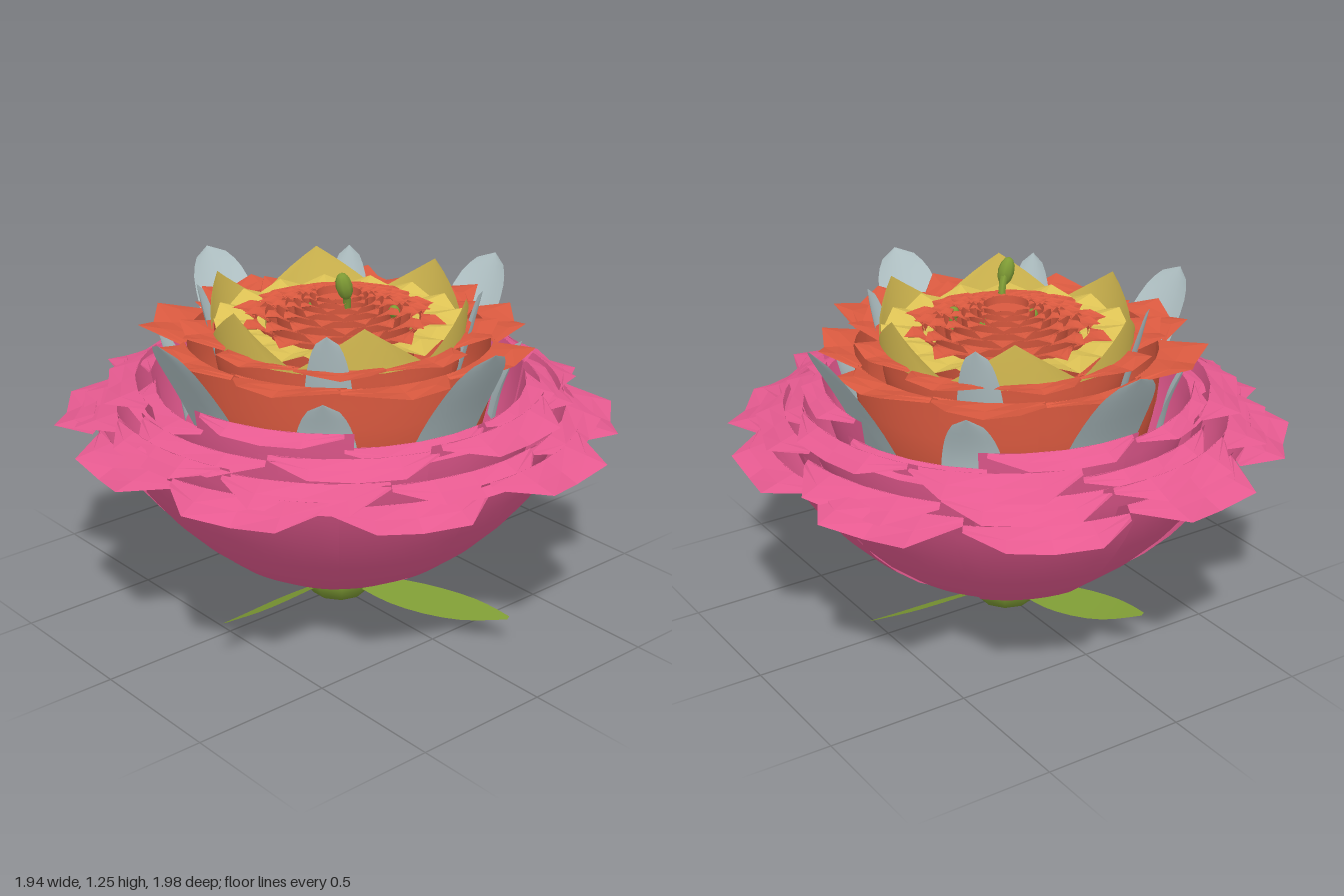
import * as THREE from 'three';

const PINK = 0xe65a90, RED = 0xd9593f, YELLOW = 0xdcc154, GREEN = 0x7f9c35, GREY = 0xb4c5c8;

const material = (color, flatShading = false) =>
  new THREE.MeshStandardMaterial({ color, flatShading, side: THREE.DoubleSide });

// Grid surface: fn(u, v) gives [x, y, z], with u and v running 0..1
function surface(fn, nu, nv) {
  const pos = [], index = [];
  for (let j = 0; j <= nv; j++)
    for (let i = 0; i <= nu; i++) {
      pos.push(...fn(i / nu, j / nv));
      if (i < nu && j < nv) {
        const a = j * (nu + 1) + i, b = a + nu + 1;
        index.push(a, a + 1, b, a + 1, b + 1, b);
      }
    }
  const g = new THREE.BufferGeometry();
  g.setAttribute('position', new THREE.Float32BufferAttribute(pos, 3));
  g.setIndex(index);
  g.computeVertexNormals();
  return g;
}

function mesh(parent, name, geometry, mat) {
  const m = new THREE.Mesh(geometry, mat);
  m.name = name;
  parent.add(m);
  return m;
}

const polar = (a, r, y) => [Math.sin(a) * r, y, Math.cos(a) * r];

// Lip outlines across one petal: blunt two-cornered tip, single point, or plain ring
const BLUNT = [0.12, 0.95, 0.8, 1, 0.12];
const POINT = [0, 0.5, 1, 0.5, 0];
const PLAIN = [1, 1, 1, 1, 1];

// Whorl of n cupped petals: smooth wall along a [radius, y] profile, then a faceted flared lip
function whorl(parent, name, color, { n, profile, lip, rot = 0, pattern = BLUNT, vary = 0.02, lift = 0 }) {
  const group = new THREE.Group();
  group.name = name;
  const curve = new THREE.CatmullRomCurve3(profile.map(([r, y]) => new THREE.Vector3(r, y, 0)));
  const [r0, y0] = profile[profile.length - 1];
  const cols = pattern.length - 1;
  const curl = (lip[0] - r0) * 0.1;
  for (let i = 0; i < n; i++) {
    const mid = rot + (i / n) * Math.PI * 2;
    const half = Math.PI / n;
    const push = 1 + vary * Math.sin(i * 2.4 + rot * 5);
    const raise = lift * Math.sin(i * 3.9 + rot * 7);
    const stagger = i % 2 ? 0.98 : 1;
    mesh(group, 'petalWall', surface((u, v) => {
      const p = curve.getPoint(v);
      return polar(mid + (u * 2 - 1) * half * 1.12, p.x * stagger, p.y + raise * v * v);
    }, 8, 10), material(color));
    mesh(group, 'petalLip', surface((u, v) => {
      const k = Math.round(u * cols);
      const t = v * pattern[k];
      const r = r0 * stagger + (lip[0] * push - r0 * stagger) * t;
      const y = y0 + raise + (lip[1] - y0) * t + v * (k % 2 ? curl : -curl);
      return polar(mid + (u * 2 - 1) * half, r, y);
    }, cols, 2), material(color, true));
  }
  parent.add(group);
}

// Slim leaf along a path, with half width shape(v) across and a little cupping
function leaf(points, width, shape, cup) {
  const curve = new THREE.CatmullRomCurve3(points.map(p => new THREE.Vector3(...p)));
  return surface((u, v) => {
    const p = curve.getPoint(v), s = u * 2 - 1;
    return [p.x + s * width * shape(v), p.y, p.z - cup * s * s * shape(v)];
  }, 6, 10);
}

export function createModel() {
  const flower = new THREE.Group();
  flower.name = 'flower';

  // Bowl of pink petals: four nested whorls whose lips droop outward
  whorl(flower, 'outerPinkPetals', PINK, {
    n: 10, rot: 0.2, lip: [0.985, 0.685], lift: 0.012,
    profile: [[0.1, 0.11], [0.24, 0.13], [0.44, 0.23], [0.64, 0.41], [0.78, 0.6], [0.85, 0.735]],
  });
  whorl(flower, 'middlePinkPetals', PINK, {
    n: 9, rot: 0.55, lip: [0.9, 0.725], lift: 0.02, vary: 0.03,
    profile: [[0.1, 0.13], [0.4, 0.23], [0.6, 0.41], [0.74, 0.62], [0.79, 0.78]],
  });
  whorl(flower, 'innerPinkPetals', PINK, {
    n: 8, rot: 0.15, lip: [0.82, 0.78], lift: 0.025, vary: 0.03,
    profile: [[0.1, 0.15], [0.37, 0.26], [0.57, 0.44], [0.68, 0.66], [0.72, 0.83]],
  });
  whorl(flower, 'innermostPinkPetals', PINK, {
    n: 8, rot: 0.5, lip: [0.735, 0.82], lift: 0.035, vary: 0.03,
    profile: [[0.1, 0.17], [0.34, 0.3], [0.53, 0.5], [0.62, 0.7], [0.65, 0.855]],
  });

  // Red petals with nearly upright walls and flat lips
  whorl(flower, 'outerRedPetals', RED, {
    n: 9, rot: 0.35, lip: [0.67, 1.008], vary: 0.035,
    profile: [[0.2, 0.3], [0.42, 0.5], [0.52, 0.75], [0.535, 0.995]],
  });
  whorl(flower, 'innerRedPetals', RED, {
    n: 9, rot: 0, lip: [0.545, 1.03],
    profile: [[0.34, 0.7], [0.42, 0.88], [0.43, 1.02]],
  });

  // Yellow ring and six upright triangular petals
  whorl(flower, 'yellowRing', YELLOW, {
    n: 8, rot: 0.4, lip: [0.43, 1.045], pattern: PLAIN, vary: 0,
    profile: [[0.24, 0.85], [0.25, 0.95], [0.26, 1.03]],
  });
  for (let i = 0; i < 6; i++) {
    const mid = Math.PI / 6 + (i * Math.PI) / 3;
    mesh(flower, 'pointedYellowPetal', surface((u, v) =>
      polar(mid + (u * 2 - 1) * 0.55 * (1 - v), 0.435 + 0.015 * v, 1 + 0.165 * v), 6, 5), material(YELLOW));
  }

  // Tight red heart: small pointed whorls rising to the middle, each half a petal on from the last
  const heart = [[0.37, 1.06], [0.325, 1.075], [0.28, 1.09], [0.24, 1.103], [0.2, 1.115], [0.165, 1.125], [0.13, 1.135], [0.1, 1.142]];
  heart.forEach(([r, y], i) => whorl(flower, 'heartPetals', RED, {
    n: 10, rot: (i * Math.PI) / 10, lip: [r, y], pattern: POINT, vary: 0.03,
    profile: [[r * 0.72, y - 0.14], [r * 0.75, y - 0.07], [r * 0.78, y - 0.004]],
  }));
  const centre = mesh(flower, 'heartCentre', new THREE.CircleGeometry(0.08, 16), material(RED));
  centre.rotation.x = -Math.PI / 2;
  centre.position.y = 1.11;

  // Pale blades: four large ones, and on each diagonal a high inner and a low outer one
  const oval = v => Math.sqrt(Math.max(0, 1 - Math.pow(v, 2.3)));
  const blades = [
    ['largePaleBlade', 0, leaf([[0, 0.66, 0.5], [0, 0.86, 0.6], [0, 1.03, 0.7], [0, 1.125, 0.755]], 0.145, oval, 0.02)],
    ['highPaleBlade', 0.5, leaf([[0, 0.86, 0.42], [0, 1.0, 0.455], [0, 1.155, 0.49]], 0.08, oval, 0.02)],
    ['lowPaleBlade', 0.5, leaf([[0, 0.66, 0.54], [0, 0.82, 0.57], [0, 0.98, 0.63]], 0.11, oval, 0.02)],
  ];
  for (const [name, turn, geometry] of blades)
    for (let i = 0; i < 4; i++)
      mesh(flower, name, geometry, material(GREY)).rotation.y = (i + turn) * Math.PI / 2;

  // Green base
  const base = [[0, 0], [0.1, 0], [0.13, 0.04], [0.145, 0.08], [0.135, 0.12], [0, 0.13]];
  mesh(flower, 'greenBase', new THREE.LatheGeometry(base.map(p => new THREE.Vector2(...p)), 10), material(GREEN));

  // Four long sepals, rolled to one side: heading, length and tip height
  const blade = v => 0.35 + 0.65 * Math.sin(Math.PI * v * 0.95) - 0.35 * v * v;
  [[0.2, 0.72, 0.1], [1.7, 0.63, 0.13], [3.38, 0.62, 0.145], [4.95, 0.68, 0.155]].forEach(([a, len, tip]) => {
    const mid = 0.06 + (tip - 0.06) * 0.3;
    const g = leaf([[0, 0.06, 0.08], [0, mid, len * 0.4], [0.01, (mid + tip) / 2, len * 0.75], [0.02, tip, len]], 0.06, blade, 0);
    const p = g.attributes.position;
    for (let i = 0; i < p.count; i++) p.setY(i, p.getY(i) + p.getX(i) * 0.5);
    g.computeVertexNormals();
    mesh(flower, 'sepal', g, material(GREEN)).rotation.y = a;
  });

  // Stamens: one tall with a bud, three short
  [[-0.03, 0.07, 1.255], [-0.07, -0.05, 1.14], [0.12, -0.04, 1.14], [0.13, 0.14, 1.13]].forEach(([x, z, top], i) => {
    const lean = i ? 0.01 : 0.045;
    const path = new THREE.CatmullRomCurve3([
      new THREE.Vector3(x, 1.02, z),
      new THREE.Vector3(x - lean * 0.3, top - 0.1, z + lean * 0.5),
      new THREE.Vector3(x - lean, top - 0.04, z + lean),
    ]);
    mesh(flower, 'stamenStalk', new THREE.TubeGeometry(path, 8, 0.014, 6), material(GREEN));
    const bud = mesh(flower, 'stamenBud', new THREE.SphereGeometry(0.03, 8, 6), material(GREEN));
    bud.scale.set(i ? 0.7 : 1, i ? 0.8 : 1.7, i ? 0.7 : 0.9);
    bud.rotation.z = 0.3;
    bud.position.set(x - lean, top - 0.05, z + lean);
  });

  return flower;
}
